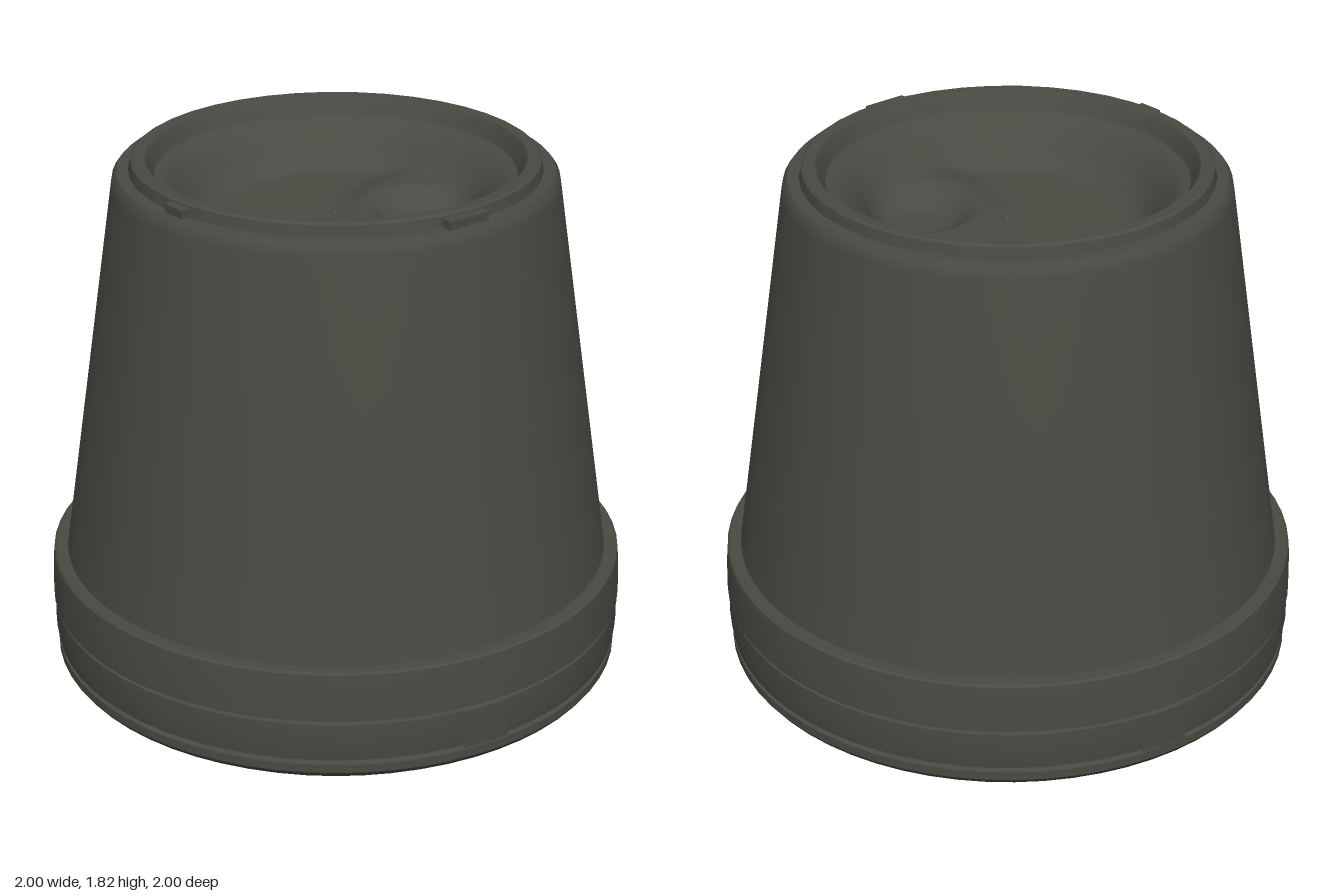
import * as THREE from 'three';
import { toCreasedNormals } from 'three/addons/utils/BufferGeometryUtils.js';

export function createModel() {
  const group = new THREE.Group();
  const charcoal = new THREE.MeshStandardMaterial({ color: 0x4a4a43 });
  charcoal.name = 'charcoal';

  const add = (name, geometry) => {
    const mesh = new THREE.Mesh(geometry, charcoal);
    mesh.name = name;
    group.add(mesh);
    return mesh;
  };
  // Profiles run from bottom to top on the outside
  const lathe = (name, points, segments = 64) => add(name, toCreasedNormals(
    new THREE.LatheGeometry(points.map(([r, y]) => new THREE.Vector2(r, y)), segments), 0.5));

  // Base foot and the two bands, parted by grooves
  lathe('baseBands', [
    [0, 0.01], [0.89, 0.01], [0.9, 0], [0.945, 0], [0.975, 0.02], [0.99, 0.04], [0.99, 0.07],
    [0.965, 0.075], [0.965, 0.085],
    [0.99, 0.088], [0.997, 0.14], [0.995, 0.222],
    [0.965, 0.226], [0.965, 0.234],
    [1, 0.238], [0.997, 0.35], [0.992, 0.405], [0.985, 0.412], [0.935, 0.41],
  ]);

  // Tapered wall with a rounded shoulder
  lathe('taperedWall', [
    [0.946, 0.4], [0.846, 1.07], [0.748, 1.73], [0.742, 1.76], [0.728, 1.778], [0.67, 1.78],
  ]);

  // Raised rim and the inner lip above the recess
  lathe('topRim', [
    [0.69, 1.775], [0.682, 1.815], [0.672, 1.822], [0.635, 1.82], [0.62, 1.8],
    [0.61, 1.77], [0.6, 1.755],
  ], 40);

  // Dished recess with a raised corner and a shallow hollow
  const smooth = THREE.MathUtils.smoothstep;
  const recess = new THREE.RingGeometry(0.001, 0.605, 64, 22);
  recess.rotateX(-Math.PI / 2);
  const p = recess.attributes.position;
  for (let i = 0; i < p.count; i++) {
    const x = p.getX(i), z = p.getZ(i), r = Math.hypot(x, z);
    const wall = smooth(r, 0.41, 0.6);
    const swell = 1 - smooth(Math.hypot(x - 0.4, z - 0.35), 0.42, 0.56);
    const hollow = 1 - smooth(Math.hypot(x - 0.22, z - 0.21), 0.1, 0.22);
    p.setY(i, 1.61 + 0.15 * wall + (1 - wall) * (0.035 * swell - 0.06 * hollow));
  }
  recess.computeVertexNormals();
  add('recessFloor', recess);

  // Latches on the lower band, front and back
  for (const turn of [0, Math.PI]) {
    const latch = add('latch', new THREE.CylinderGeometry(1.001, 0.999, 0.14, 6, 1, false, -0.25, 0.17));
    latch.position.y = 0.152;
    latch.rotation.y = turn;
  }

  // Thin seams on the upper band at both sides
  for (const side of [1, -1]) {
    const seam = add('bandSeam', new THREE.BoxGeometry(0.008, 0.15, 0.012));
    seam.position.set(side * 0.995, 0.31, 0);
  }

  // Small tabs on the shoulder beside the rim
  const tab = (name, w, d, x, z) =>
    add(name, new THREE.BoxGeometry(w, 0.035, d)).position.set(x, 1.79, z);
  tab('sideTab', 0.045, 0.09, -0.685, 0.06);
  tab('frontTab', 0.16, 0.04, -0.04, 0.69);

  return group;
}
